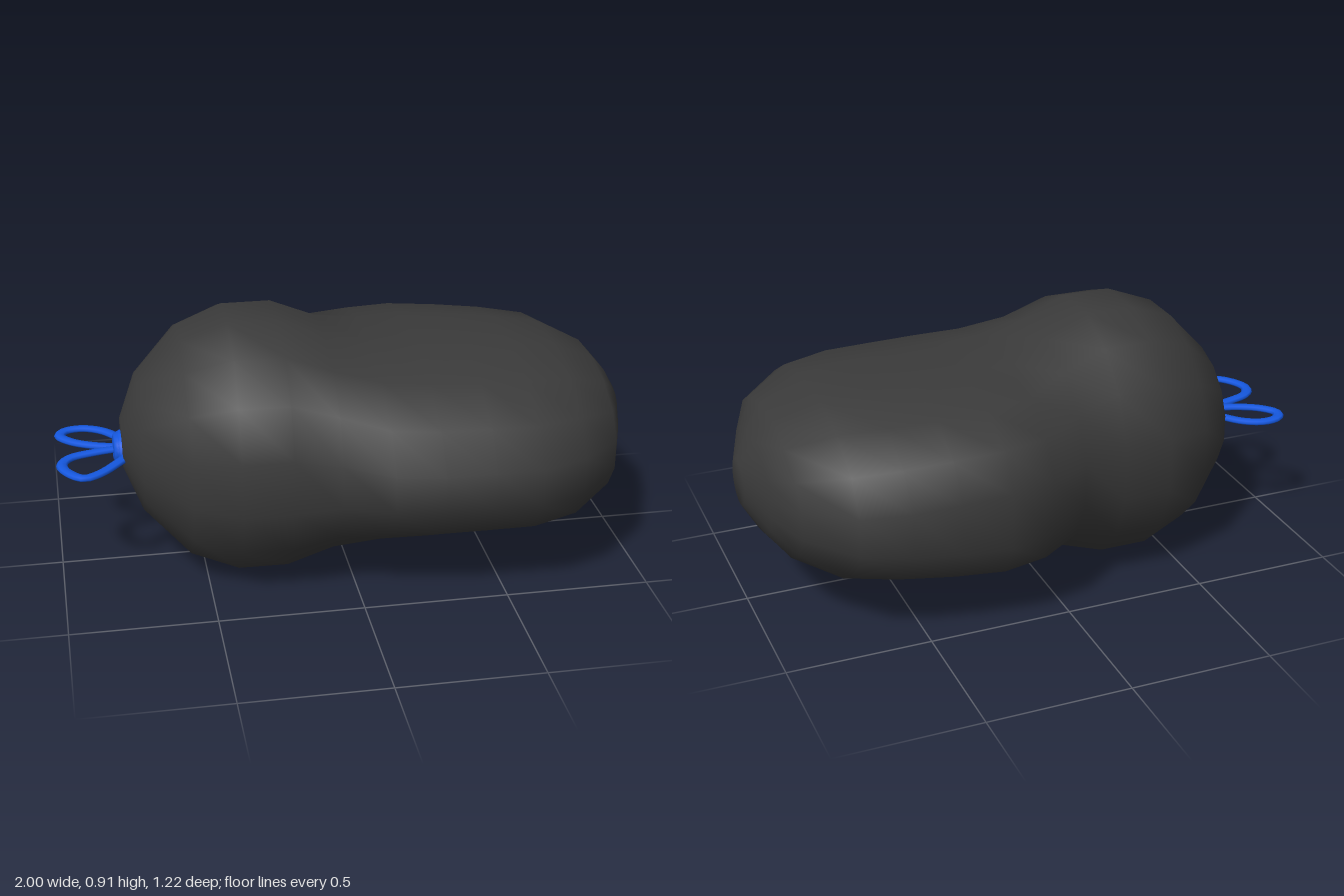
import * as THREE from 'three';

const SIDES = 16;
const CENTRE_Y = 0.455;

// Cross-sections along x: [x, half height, back depth, front depth, back squareness, front squareness]
const SECTIONS = [
  [-0.77, 0.085, 0.095, 0.095, 2, 2],
  [-0.71, 0.235, 0.245, 0.245, 2, 2],
  [-0.56, 0.395, 0.385, 0.4, 2.05, 2.05],
  [-0.40, 0.455, 0.44, 0.46, 2.1, 2.1],
  [-0.23, 0.455, 0.44, 0.465, 2.1, 2.1],
  [-0.07, 0.39, 0.465, 0.49, 2, 2],
  [0.09, 0.35, 0.575, 0.575, 2.45, 1.9],
  [0.25, 0.338, 0.61, 0.605, 2.65, 1.95],
  [0.42, 0.33, 0.6, 0.608, 2.5, 2],
  [0.58, 0.322, 0.58, 0.608, 2.3, 2.05],
  [0.74, 0.305, 0.53, 0.54, 2.15, 2.1],
  [0.89, 0.235, 0.39, 0.4, 2, 2.1],
  [0.95, 0.165, 0.24, 0.24, 2, 2],
  [1.0, 0.08, 0.08, 0.08, 2, 2],
];

// Closed smooth skin through the rounded cross-sections
function sackGeometry() {
  const pos = [], index = [];
  const power = (v, n) => Math.sign(v) * Math.pow(Math.abs(v), 2 / n);
  const flat = Math.cos(Math.PI / SIDES);
  for (const [x, h, back, front, nBack, nFront] of SECTIONS) {
    for (let j = 0; j < SIDES; j++) {
      const a = ((j + 0.5) / SIDES) * Math.PI * 2;
      const c = Math.cos(a), s = Math.sin(a);
      const n = c < 0 ? nBack : nFront;
      const k = power(flat, n);
      pos.push(x, CENTRE_Y + (h * power(s, n)) / k, ((c < 0 ? back : front) * power(c, n)) / k);
    }
  }
  const last = SECTIONS.length - 1;
  const startCap = pos.length / 3, endCap = startCap + 1;
  pos.push(SECTIONS[0][0], CENTRE_Y, 0, SECTIONS[last][0], CENTRE_Y, 0);
  for (let j = 0; j < SIDES; j++) {
    const k = (j + 1) % SIDES;
    for (let i = 0; i < last; i++) {
      const a = i * SIDES + j, b = i * SIDES + k;
      index.push(a, a + SIDES, b, b, a + SIDES, b + SIDES);
    }
    index.push(startCap, j, k);
    index.push(endCap, last * SIDES + k, last * SIDES + j);
  }
  const g = new THREE.BufferGeometry();
  g.setAttribute('position', new THREE.Float32BufferAttribute(pos, 3));
  g.setIndex(index);
  g.computeVertexNormals();
  return g;
}

// Flattened cord following points in the horizontal plane
function cordGeometry(points) {
  const curve = new THREE.CatmullRomCurve3(points.map(([x, z]) => new THREE.Vector3(x, 0, z)));
  return new THREE.TubeGeometry(curve, 28, 0.02, 8).scale(1, 0.5, 1);
}

export function createModel() {
  const model = new THREE.Group();
  const bagMaterial = new THREE.MeshStandardMaterial({ color: 0x3a3a3a });
  const tieMaterial = new THREE.MeshStandardMaterial({ color: 0x1558e0 });

  function add(parent, name, geometry, material, x = 0, y = 0, z = 0) {
    const mesh = new THREE.Mesh(geometry, material);
    mesh.name = name;
    mesh.position.set(x, y, z);
    parent.add(mesh);
    return mesh;
  }

  // Lumpy filled bag
  add(model, 'bag', sackGeometry(), bagMaterial);

  // Tie: two bow loops and a knot at the narrow end
  const tie = new THREE.Group();
  tie.name = 'tie';
  tie.position.y = 0.427;
  model.add(tie);

  add(tie, 'backLoop', cordGeometry([
    [-0.77, -0.02], [-0.86, -0.045], [-0.94, -0.09], [-0.98, -0.145],
    [-0.96, -0.185], [-0.9, -0.197], [-0.83, -0.165], [-0.76, -0.08],
  ]), tieMaterial);
  add(tie, 'frontLoop', cordGeometry([
    [-0.77, -0.01], [-0.87, 0.01], [-0.95, 0.04], [-0.98, 0.09],
    [-0.965, 0.15], [-0.91, 0.207], [-0.855, 0.18], [-0.76, 0.07],
  ]), tieMaterial);

  // Knot: a squashed core wrapped by a ring
  add(tie, 'knotCore', new THREE.SphereGeometry(1, 14, 10).scale(0.034, 0.058, 0.08), tieMaterial, -0.768, 0, -0.018);
  const ring = add(tie, 'knotRing', new THREE.TorusGeometry(0.036, 0.018, 8, 20), tieMaterial, -0.782, 0, -0.018);
  ring.rotation.y = Math.PI / 2;
  ring.scale.x = 1.3;

  return model;
}
